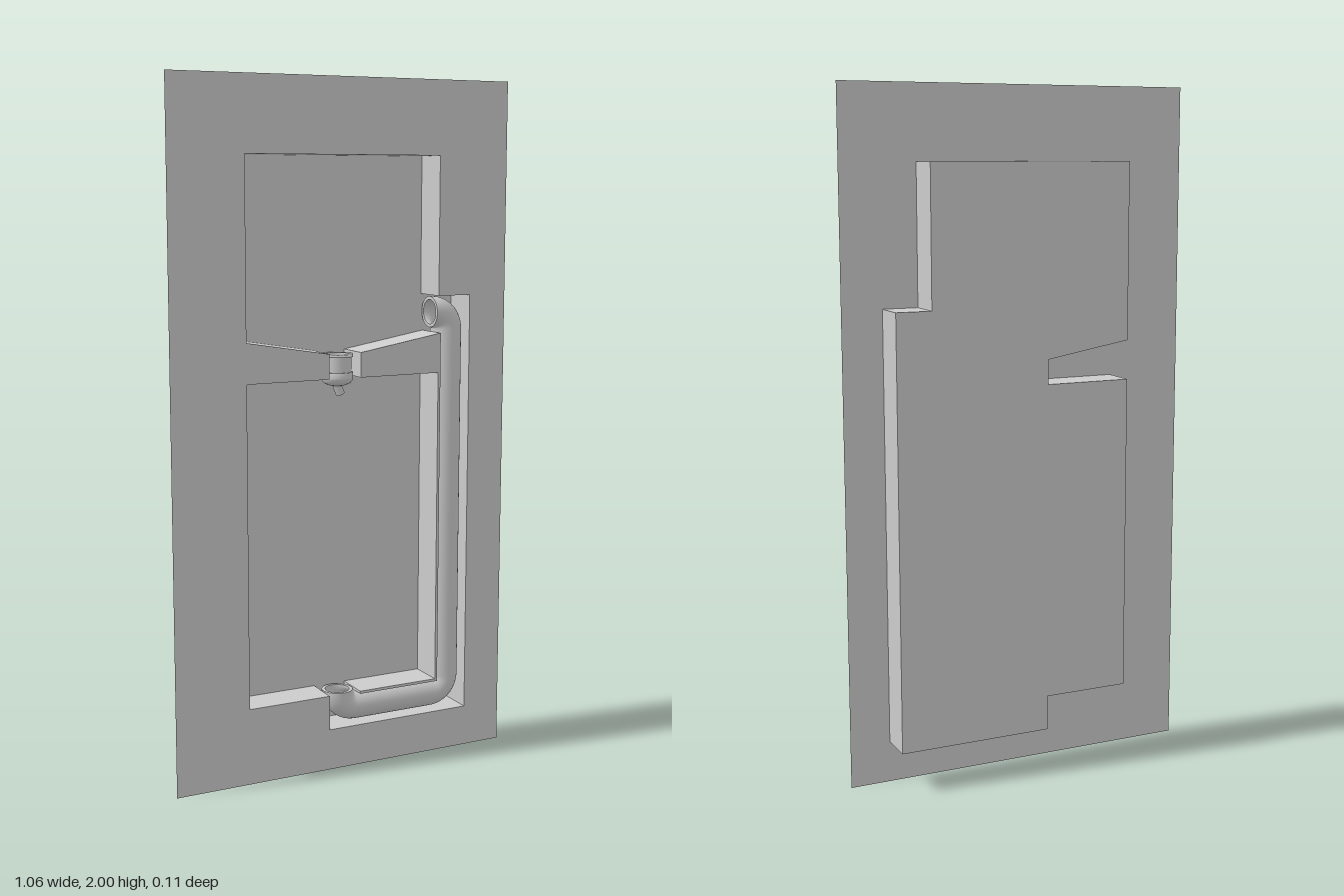
import * as THREE from 'three';

const FRONT = 0.053, BACK = -0.053;
const grey = new THREE.MeshStandardMaterial({ color: 0xcccccc, side: THREE.DoubleSide });
const flat = new THREE.MeshStandardMaterial({ color: 0xcccccc, side: THREE.DoubleSide, flatShading: true });

function add(parent, name, geometry, material = flat) {
  const mesh = new THREE.Mesh(geometry, material);
  mesh.name = name;
  parent.add(mesh);
  return mesh;
}

const toPoints = list => list.map(([x, y]) => new THREE.Vector2(x, y));

// Strip of flat walls following a closed outline from the front plane to the back plane
function wallGeometry(points) {
  const pos = [];
  points.forEach((a, i) => {
    const b = points[(i + 1) % points.length];
    pos.push(a.x, a.y, FRONT, b.x, b.y, BACK, a.x, a.y, BACK);
    pos.push(a.x, a.y, FRONT, b.x, b.y, FRONT, b.x, b.y, BACK);
  });
  const g = new THREE.BufferGeometry();
  g.setAttribute('position', new THREE.Float32BufferAttribute(pos, 3));
  g.computeVertexNormals();
  return g;
}

// Centre line through corner points, with each corner rounded by a bend
function roundedPath(corners, bend) {
  const path = new THREE.CurvePath();
  let last = corners[0];
  for (let i = 1; i < corners.length - 1; i++) {
    const c = corners[i];
    const inward = c.clone().add(corners[i - 1].clone().sub(c).setLength(bend));
    const outward = c.clone().add(corners[i + 1].clone().sub(c).setLength(bend));
    path.add(new THREE.LineCurve3(last, inward));
    const k = 0.552; // circular arc handle length
    path.add(new THREE.CubicBezierCurve3(inward, inward.clone().lerp(c, k), outward.clone().lerp(c, k), outward));
    last = outward;
  }
  path.add(new THREE.LineCurve3(last, corners[corners.length - 1]));
  return path;
}

export function createModel() {
  const model = new THREE.Group();
  model.name = 'recessedPanel';

  // Outline of the recess: upper chamber, neck, lower chamber and pipe channel
  const recess = toPoints([
    [-0.305, 1.787], [-0.305, 1.275], [-0.05, 1.232], [-0.05, 1.16],
    [-0.305, 1.16], [-0.305, 0.225], [-0.05, 0.225], [-0.05, 0.122],
    [0.41, 0.122], [0.41, 1.385], [0.305, 1.385], [0.305, 1.787],
  ]);

  // Front plate with the recess cut out
  const plate = new THREE.Shape(toPoints([[-0.53, 0], [0.53, 0], [0.53, 2], [-0.53, 2]]));
  plate.holes.push(new THREE.Path(recess));
  add(model, 'frontPlate', new THREE.ShapeGeometry(plate)).position.z = FRONT;

  // Recess walls and back
  add(model, 'recessWalls', wallGeometry(recess));
  add(model, 'recessBack', new THREE.ShapeGeometry(new THREE.Shape(recess))).position.z = BACK;

  // Divider between the chambers and the pipe channel
  const divider = toPoints([
    [0.05, 0.217], [0.313, 0.217], [0.313, 1.276], [0.305, 1.275], [0.05, 1.232],
    [0.05, 1.16], [0.305, 1.16], [0.305, 0.225], [0.05, 0.225],
  ]);
  add(model, 'dividerWalls', wallGeometry(divider));
  add(model, 'dividerFace', new THREE.ShapeGeometry(new THREE.Shape(divider))).position.z = FRONT;

  // Hollow return pipe from the lower chamber to the upper one
  const pipe = new THREE.Group();
  pipe.name = 'pipe';
  model.add(pipe);
  const R = 0.046, BORE = 0.036;
  const path = roundedPath(
    [[0, 0.225], [0, 0.173], [0.36, 0.173], [0.36, 1.335], [0.305, 1.335]].map(([x, y]) => new THREE.Vector3(x, y, 0)),
    0.05);
  add(pipe, 'pipeOutside', new THREE.TubeGeometry(path, 200, R, 32), grey);
  add(pipe, 'pipeBore', new THREE.TubeGeometry(path, 200, BORE, 32), grey);
  const lowerRim = add(pipe, 'lowerRim', new THREE.RingGeometry(BORE, R, 32));
  lowerRim.position.set(0, 0.225, 0);
  lowerRim.rotation.x = -Math.PI / 2;
  const upperRim = add(pipe, 'upperRim', new THREE.RingGeometry(BORE, R, 32));
  upperRim.position.set(0.305, 1.335, 0);
  upperRim.rotation.y = -Math.PI / 2;

  // Cup-shaped valve in the neck, with a tilted spout below
  const valve = new THREE.Group();
  valve.name = 'valve';
  model.add(valve);
  const bands = [
    ['valveRim', [[0.034, 1.226], [0.046, 1.226], [0.046, 1.218], [0.041, 1.218]]],
    ['valveBody', [[0.041, 1.218], [0.041, 1.174]]],
    ['valveCollar', [[0.041, 1.174], [0.046, 1.174], [0.046, 1.157]]],
    ['valveDome', [[0.046, 1.157], [0.044, 1.149], [0.038, 1.142], [0.028, 1.137], [0.014, 1.134], [0, 1.133]]],
    ['valveBore', [[0.034, 1.226], [0.034, 1.18], [0, 1.17]]],
  ];
  for (const [name, profile] of bands) add(valve, name, new THREE.LatheGeometry(toPoints(profile), 32), grey);
  const spout = add(valve, 'spout', new THREE.CylinderGeometry(0.013, 0.013, 0.04, 20), grey);
  spout.position.set(0.003, 1.127, 0);
  spout.rotation.z = 0.4;

  return model;
}
